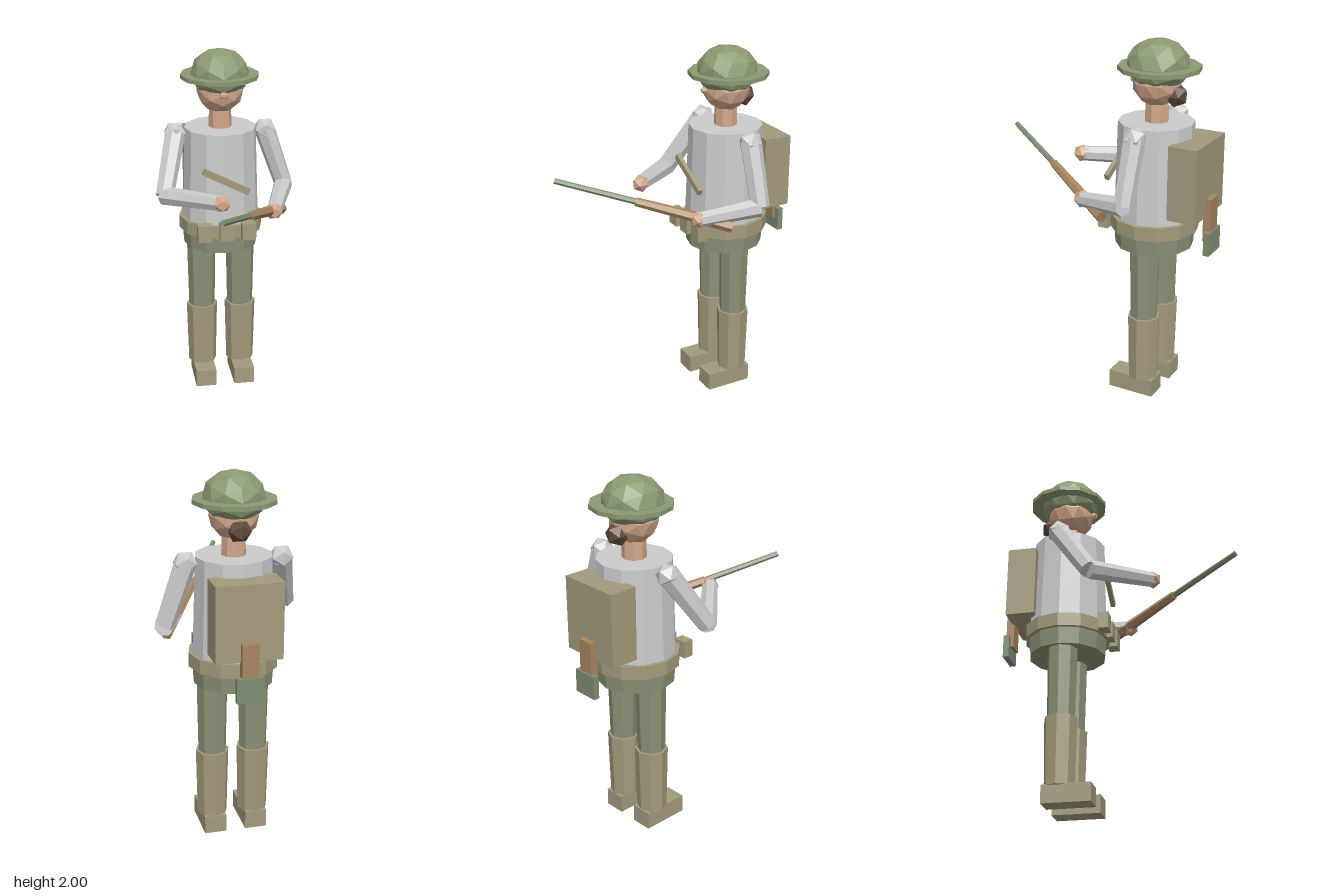
import * as THREE from 'three';

const mat = (color) => new THREE.MeshStandardMaterial({ color, flatShading: true });

export function createModel() {
  const model = new THREE.Group();
  const grey = mat(0xcccccc), helmetGreen = mat(0x8a9a72), cloth = mat(0x8c9075);
  const tan = mat(0xa39a7c), skin = mat(0xd2a78a), hair = mat(0x5f4a3a);
  const wood = mat(0xa8865f), metal = mat(0x7f8e72);
  const CX = -0.018, CZ = -0.312; // body axis

  const add = (name, geometry, material, x, y, z) => {
    const mesh = new THREE.Mesh(geometry, material);
    mesh.name = name;
    mesh.position.set(x, y, z);
    model.add(mesh);
    return mesh;
  };
  const box = (name, m, x0, x1, y0, y1, z0, z1) =>
    add(name, new THREE.BoxGeometry(x1 - x0, y1 - y0, z1 - z0), m,
      (x0 + x1) / 2, (y0 + y1) / 2, (z0 + z1) / 2);
  // Upright drum between two heights
  const drum = (name, m, x, y0, y1, rBottom, rTop, sides) =>
    add(name, new THREE.CylinderGeometry(rTop, rBottom, y1 - y0, sides), m, x, (y0 + y1) / 2, CZ);
  const ball = (name, m, r, detail, x, y, z) =>
    add(name, new THREE.IcosahedronGeometry(r, detail), m, x, y, z);
  // Tapered rod from point a to point b
  const rod = (name, m, a, b, rA, rB, sides) => {
    const start = new THREE.Vector3(...a), end = new THREE.Vector3(...b);
    const dir = end.clone().sub(start);
    const mid = start.clone().add(end).multiplyScalar(0.5);
    const mesh = add(name, new THREE.CylinderGeometry(rB, rA, dir.length(), sides), m, mid.x, mid.y, mid.z);
    mesh.quaternion.setFromUnitVectors(new THREE.Vector3(0, 1, 0), dir.normalize());
  };

  // Legs, gaiters and boots
  for (const [side, s] of [['left', 1], ['right', -1]]) {
    const x = CX + s * 0.114;
    drum(side + 'Leg', cloth, x, 0.4, 0.89, 0.075, 0.084, 8);
    drum(side + 'Gaiter', tan, x, 0.095, 0.472, 0.082, 0.091, 8);
    box(side + 'Boot', tan, x - 0.06, x + 0.06, 0, 0.1, -0.395, -0.13);
  }

  // Torso, hips and belt
  drum('hips', cloth, CX, 0.87, 1.0, 0.213, 0.222, 12);
  drum('torso', grey, CX, 0.97, 1.56, 0.221, 0.203, 12);
  drum('belt', tan, CX, 0.965, 1.04, 0.24, 0.24, 12);
  for (const dx of [-0.125, 0, 0.125]) {
    const x = CX + dx;
    box('beltPouch', tan, x - 0.039, x + 0.039, 0.963, 1.058, -0.108, -0.05);
  }
  const strap = add('chestStrap', new THREE.BoxGeometry(0.285, 0.035, 0.024), tan, CX, 1.305, -0.082);
  strap.rotation.z = -0.48;

  // Head and helmet
  drum('neck', skin, CX, 1.54, 1.68, 0.066, 0.062, 8);
  ball('head', skin, 0.133, 1, CX, 1.772, CZ);
  ball('nose', skin, 0.022, 0, CX, 1.768, -0.175);
  ball('hairBun', hair, 0.065, 0, CX, 1.71, -0.422);
  ball('helmetDome', helmetGreen, 0.17, 1, CX, 1.86, -0.316).scale.set(0.97, 0.824, 1);
  drum('helmetBrim', helmetGreen, CX, 1.835, 1.858, 0.22, 0.22, 12).position.z = -0.325;

  // Arms: shoulder, elbow and hand points
  const arms = {
    left: [[0.237, 1.53, -0.314], [0.35, 1.2, -0.312], [0.237, 1.147, -0.005]],
    right: [[-0.273, 1.53, -0.314], [-0.358, 1.23, -0.12], [-0.083, 1.278, 0.18]],
  };
  for (const [side, [shoulder, elbow, hand]] of Object.entries(arms)) {
    ball(side + 'Shoulder', grey, 0.067, 0, ...shoulder);
    rod(side + 'UpperArm', grey, shoulder, elbow, 0.06, 0.052, 7);
    rod(side + 'Forearm', grey, elbow, hand, 0.054, 0.042, 7);
    ball(side + 'Hand', skin, 0.049, 0, ...hand);
  }

  // Rifle
  rod('rifleStock', wood, [0.31, 1.1, -0.165], [0.053, 1.24, 0.28], 0.034, 0.024, 6);
  rod('rifleBarrel', metal, [0.065, 1.235, 0.26], [-0.152, 1.358, 0.655], 0.017, 0.015, 6);

  // Backpack with spade
  box('backpack', tan, -0.198, 0.157, 1.085, 1.49, -0.626, -0.465);
  box('spadeHandle', wood, -0.063, 0.026, 0.95, 1.19, -0.658, -0.615);
  box('spadeBlade', metal, -0.09, 0.055, 0.88, 1.01, -0.666, -0.633);

  return model;
}
